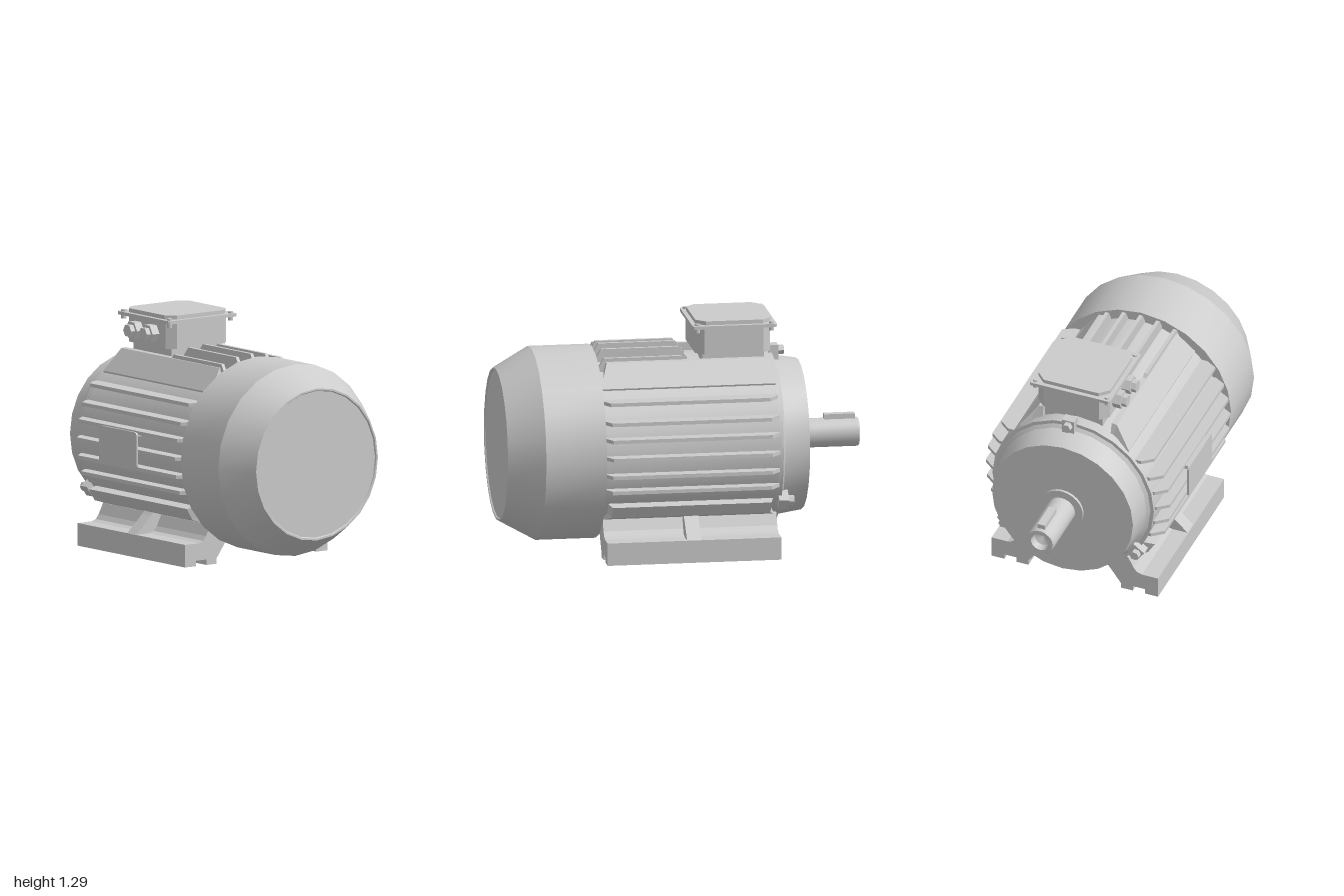
import * as THREE from 'three';
import { toCreasedNormals } from 'three/addons/utils/BufferGeometryUtils.js';

const CY = 0.59; // height of the motor axis
const CZ = -0.007;

export function createModel() {
  const model = new THREE.Group();
  const material = new THREE.MeshStandardMaterial({ color: 0xcccccc, side: THREE.DoubleSide });

  const add = (name, geometry, x = 0, y = 0, z = 0) => {
    const mesh = new THREE.Mesh(geometry, material);
    mesh.name = name;
    mesh.position.set(x, y, z);
    model.add(mesh);
    return mesh;
  };
  const box = (name, x0, x1, y0, y1, z0, z1) =>
    add(name, new THREE.BoxGeometry(x1 - x0, y1 - y0, z1 - z0), (x0 + x1) / 2, (y0 + y1) / 2, (z0 + z1) / 2);
  const shapeOf = (pts) => new THREE.Shape(pts.map(([a, b]) => new THREE.Vector2(a, b)));
  const extrude = (shape, depth) => new THREE.ExtrudeGeometry(shape, { depth, bevelEnabled: false, curveSegments: 6 });

  // Turned part about the motor axis; profile is [x, radius] from left to right
  const turned = (name, profile, segments = 24) => {
    const g = new THREE.LatheGeometry(profile.map(([x, r]) => new THREE.Vector2(r, x)), segments);
    g.rotateZ(-Math.PI / 2);
    return add(name, toCreasedNormals(g, 0.4), 0, CY, CZ);
  };
  // Prism along x from a [z, y] outline
  const prism = (pts, x0, x1) => {
    const g = extrude(shapeOf(pts.map(([z, y]) => [-z, y])), x1 - x0);
    return g.rotateY(Math.PI / 2).translate(x0, 0, 0);
  };
  // Rectangle with cut corners lying flat, extruded upward
  const slab = (name, x0, x1, y0, y1, z0, z1, c) => {
    const g = extrude(shapeOf([
      [x0 + c, -z1], [x1 - c, -z1], [x1, -z1 + c], [x1, -z0 - c],
      [x1 - c, -z0], [x0 + c, -z0], [x0, -z0 - c], [x0, -z1 + c],
    ]), y1 - y0);
    return add(name, g.rotateX(-Math.PI / 2), 0, y0, 0);
  };

  // Frame, end bell, fan cover and shaft
  turned('frameCore', [[-0.5, 0], [-0.5, 0.475], [0.49, 0.475], [0.49, 0]]);
  turned('endBell', [[-0.67, 0], [-0.67, 0.415], [-0.53, 0.437], [-0.515, 0.455],
    [-0.515, 0.475], [-0.49, 0.475], [-0.49, 0]]);
  turned('fanCover', [[0.47, 0], [0.47, 0.53], [0.805, 0.53], [1, 0.42], [1, 0.41], [0.992, 0.405], [0.992, 0]]);
  turned('bearingBoss', [[-0.685, 0], [-0.685, 0.125], [-0.66, 0.125]]);
  turned('shaft', [[-0.94, 0], [-0.96, 0.045], [-1, 0.052], [-1, 0.075], [-0.993, 0.08], [-0.67, 0.08]]);
  box('shaftKey', -0.98, -0.81, CY + 0.04, 0.695, CZ - 0.022, CZ + 0.022);

  // Cooling fins with sloping ends
  const fin = (x0, x1, base, root, tip) => extrude(shapeOf([
    [x0, base], [x1, base], [x1, root], [x1 - 0.035, tip], [x0 + 0.05, tip], [x0, root],
  ]), 0.02).translate(0, 0, -0.01);
  const finTip = (offset) => Math.sqrt(0.542 ** 2 - offset ** 2);
  for (const side of [1, -1]) {
    for (const dy of [0.3, 0.2, 0.11, 0.01, -0.09, -0.18]) {
      const tip = finTip(dy);
      const g = fin(-0.495, 0.47, 0.35, tip - 0.06, tip).rotateX(side * Math.PI / 2);
      add('sideFin', g, 0, CY + dy, CZ);
    }
    // Solid corner ribs, their outer edges shortened
    const corners = {
      upperCornerRib: [[0.2, 0.3], [0.2, 0.485], [0.23, 0.483], [0.32, 0.36], [0.3, 0.3]],
      lowerCornerRib: [[0.3, -0.25], [0.455, -0.275], [0.415, -0.34], [0.28, -0.38], [0.2, -0.3]],
    };
    for (const [name, pts] of Object.entries(corners)) {
      const g = prism(pts.map(([z, y]) => [z * side, y]), -0.495, 0.468);
      const p = g.attributes.position;
      for (let i = 0; i < p.count; i++)
        if (Math.hypot(p.getY(i), p.getZ(i)) > 0.485) p.setX(i, p.getX(i) * 0.91);
      g.computeVertexNormals();
      add(name, g, 0, CY, CZ);
    }
  }
  for (const dz of [-0.2, -0.1, 0, 0.1, 0.2])
    add('topFin', fin(-0.04, 0.47, 0.4, finTip(dz) - 0.06, finTip(dz)), 0, CY, dz + 0.007);

  // Feet with a notched sole and a middle gusset
  for (const side of [1, -1]) {
    const foot = [[0.49, 0], [0.49, 0.125], [0.395, 0.125], [0.365, 0.135], [0.345, 0.16], [0.315, 0.22],
      [0.27, 0.25], [0.16, 0.18], [0.215, 0.11], [0.272, 0.03], [0.272, 0], [0.342, 0], [0.342, 0.03],
      [0.414, 0.03], [0.414, 0]];
    const gusset = [[0.49, 0.12], [0.385, 0.22], [0.34, 0.27], [0.27, 0.27], [0.3, 0.12]];
    add('foot', prism(foot.map(([z, y]) => [z * side, y]), -0.5, 0.46), 0, 0, CZ / 2);
    add('footGusset', prism(gusset.map(([z, y]) => [z * side, y]), -0.06, 0.02), 0, 0, CZ / 2);
  }

  // Terminal box with lid, screws and two cable glands
  box('terminalPad', -0.45, -0.11, 0.98, 1.12, -0.2, 0.14);
  slab('terminalBox', -0.485, -0.07, 1.105, 1.25, -0.24, 0.178, 0.045);
  slab('terminalLid', -0.512, -0.048, 1.25, 1.268, -0.265, 0.205, 0.008);
  slab('lidPanel', -0.488, -0.072, 1.268, 1.29, -0.241, 0.18, 0.05);
  for (const x of [-0.485, -0.075])
    for (const z of [-0.24, 0.18])
      add('lidScrew', new THREE.CylinderGeometry(0.014, 0.014, 0.05, 10), x, 1.253, z);
  for (const x of [-0.36, -0.22]) {
    const hex = (r, length) => new THREE.CylinderGeometry(r, r, length, 6).toNonIndexed()
      .rotateY(Math.PI / 6).rotateX(Math.PI / 2);
    add('glandNut', toCreasedNormals(hex(0.052, 0.06), 0.3), x, 1.182, 0.195);
    add('glandCap', toCreasedNormals(hex(0.036, 0.05), 0.3), x, 1.182, 0.228);
  }

  // Clamp lugs with bolts around the end bell
  for (const angle of [0, 2.2, -2.2]) {
    const lug = new THREE.Group();
    lug.name = 'clampLug';
    const block = new THREE.Mesh(new THREE.BoxGeometry(0.055, 0.09, 0.07), material);
    block.position.set(-0.525, 0.465, 0);
    const bolt = new THREE.Mesh(
      toCreasedNormals(new THREE.CylinderGeometry(0.027, 0.027, 0.05, 6).rotateZ(Math.PI / 2), 0.3), material);
    bolt.position.set(-0.56, 0.478, 0);
    lug.add(block, bolt);
    lug.position.set(0, CY, CZ - (angle === 0 ? 0.015 : 0));
    lug.rotation.x = angle;
    model.add(lug);
  }

  // Rating plate with rounded corners
  const [w, h, r] = [0.168, 0.1, 0.02];
  const plate = new THREE.Shape();
  plate.absarc(w - r, h - r, r, 0, Math.PI / 2);
  plate.absarc(r - w, h - r, r, Math.PI / 2, Math.PI);
  plate.absarc(r - w, r - h, r, Math.PI, Math.PI * 1.5);
  plate.absarc(w - r, r - h, r, Math.PI * 1.5, Math.PI * 2);
  add('ratingPlate', extrude(plate, 0.01), -0.053, 0.608, 0.545);
  for (const y of [0.6, 0.69]) box('plateMount', -0.2, 0.09, y - 0.01, y + 0.01, 0.5, 0.547);

  return model;
}
